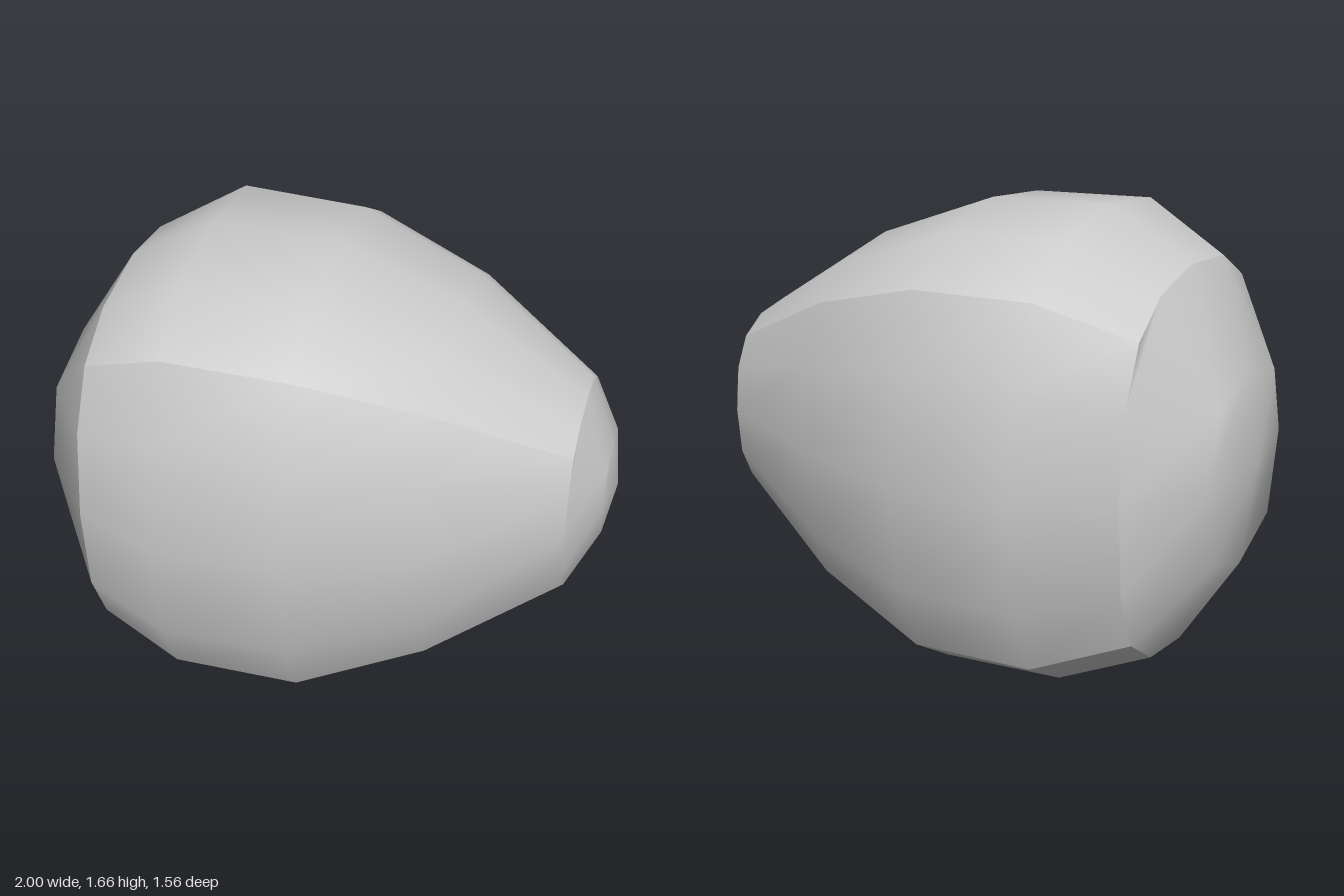
import * as THREE from 'three';

const MID_Y = 0.83;
// Cross-sections along x: [x, reach up, reach down, reach front, reach back]
const RINGS = [
  [-0.74, 0.66, 0.705, 0.645, 0.585],
  [-0.44, 0.83, 0.815, 0.775, 0.785],
  [0, 0.81, 0.83, 0.77, 0.76],
  [0.43, 0.64, 0.645, 0.61, 0.6],
  [0.87, 0.34, 0.35, 0.34, 0.335],
];
const LEFT_INNER = [-0.95, 0.32, 0.375, 0.36, 0.335];
const RIGHT_INNER = [0.97, 0.17, 0.16, 0.16, 0.185];

// Rounds a square outline (coordinates -2..2) into a soft rounded section
function soften(a, b) {
  const size = Math.abs(a) === 2 ? [1, 0.94, 0.77][Math.abs(b)] : [0, 0.465][Math.abs(a)];
  return Math.sign(a) * size;
}

function ringPoint([x, up, down, front, back], a, b) {
  const z = soften(a, b);
  const y = soften(b, a);
  return [x, MID_Y + y * (y > 0 ? up : down), z * (z > 0 ? front : back)];
}

// Smooth 4 x 4 panel; neighbouring panels keep a sharp seam
function panel(name, pointAt, material) {
  const positions = [];
  const index = [];
  for (let u = -2; u <= 2; u++) {
    for (let v = -2; v <= 2; v++) positions.push(...pointAt(u, v));
  }
  for (let u = 0; u < 4; u++) {
    for (let v = 0; v < 4; v++) {
      const p = u * 5 + v;
      index.push(p, p + 1, p + 5, p + 1, p + 6, p + 5);
    }
  }
  const geometry = new THREE.BufferGeometry();
  geometry.setAttribute('position', new THREE.Float32BufferAttribute(positions, 3));
  geometry.setIndex(index);
  geometry.computeVertexNormals();
  const mesh = new THREE.Mesh(geometry, material);
  mesh.name = name;
  return mesh;
}

// Domed end: outer section, inner section, then the tip
function capPoint(outer, inner, tipX, a, b) {
  const m = Math.max(Math.abs(a), Math.abs(b));
  if (m === 0) return [tipX, MID_Y, 0];
  return m === 2 ? ringPoint(outer, a, b) : ringPoint(inner, a * 2, b * 2);
}

export function createModel() {
  const group = new THREE.Group();
  group.name = 'roundedStone';
  const material = new THREE.MeshStandardMaterial({ color: 0xcccccc });

  // Four long panels around the x axis
  const sides = {
    topPanel: (s) => [s, 2],
    frontPanel: (s) => [2, -s],
    bottomPanel: (s) => [-s, -2],
    backPanel: (s) => [-2, s],
  };
  for (const [name, edge] of Object.entries(sides)) {
    group.add(panel(name, (u, v) => ringPoint(RINGS[u + 2], ...edge(v)), material));
  }

  // Narrow and broad domed ends
  group.add(panel('narrowEnd', (u, v) => capPoint(RINGS[4], RIGHT_INNER, 1, u, v), material));
  group.add(panel('broadEnd', (u, v) => capPoint(RINGS[0], LEFT_INNER, -1, -u, v), material));
  return group;
}
